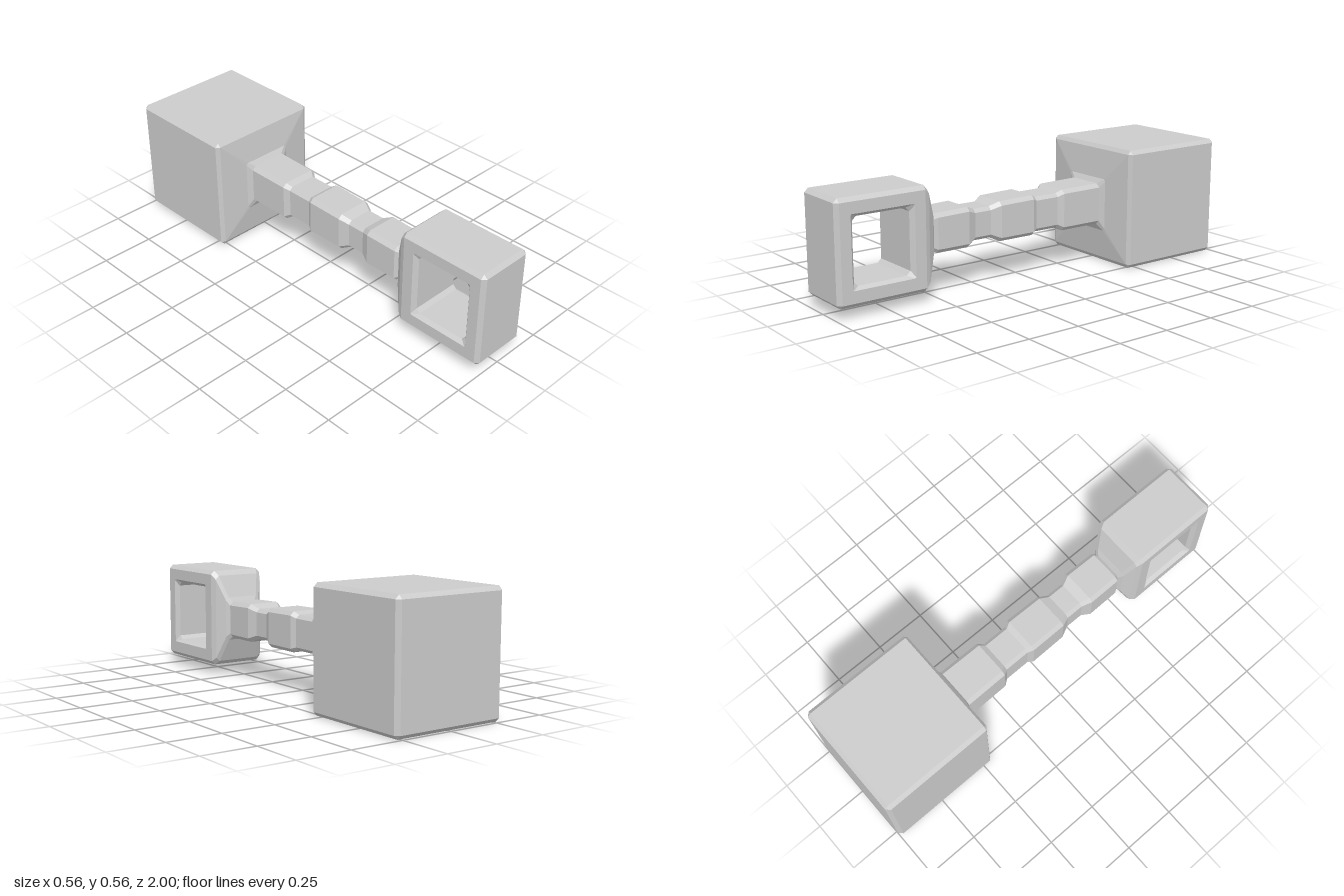
import * as THREE from 'three';

const material = new THREE.MeshStandardMaterial({ color: 0xcccccc, flatShading: true });

// Rectangle with cut corners, counter-clockwise; c0 cuts the low-v corners, c1 the high-v ones
function octagon(u0, u1, v0, v1, c0, c1 = c0) {
  return [
    [u1, v0 + c0], [u1, v1 - c1], [u1 - c1, v1], [u0 + c1, v1],
    [u0, v1 - c1], [u0, v0 + c0], [u0 + c0, v0], [u1 - c0, v0],
  ];
}

// Joins successive rings with flat facets, optionally capping the first ring
function loft(name, rings, capStart = false) {
  const pos = [];
  const tri = (a, b, c) => {
    const area = b.clone().sub(a).cross(c.clone().sub(a)).length();
    if (area > 1e-9) for (const p of [a, b, c]) pos.push(p.x, p.y, p.z);
  };
  for (let k = 0; k < rings.length - 1; k++) {
    const a = rings[k], b = rings[k + 1], n = a.length;
    for (let i = 0; i < n; i++) {
      const j = (i + 1) % n;
      tri(a[i], a[j], b[j]);
      tri(a[i], b[j], b[i]);
    }
  }
  if (capStart) {
    const r = rings[0];
    for (let i = 1; i < r.length - 1; i++) tri(r[0], r[i + 1], r[i]);
  }
  const geo = new THREE.BufferGeometry();
  geo.setAttribute('position', new THREE.Float32BufferAttribute(pos, 3));
  geo.computeVertexNormals();
  const mesh = new THREE.Mesh(geo, material);
  mesh.name = name;
  return mesh;
}

// Cross-section across the shaft: z, half width, bottom, top, corner cut
const section = ([z, w, y0, y1, c]) =>
  octagon(-w, w, y0, y1, c).map(([x, y]) => new THREE.Vector3(x, y, z));

// Cross-section of the grip frame in the y-z plane at a given x
const slice = (x, ...box) => octagon(...box).map(([y, z]) => new THREE.Vector3(x, y, z));

export function createModel() {
  const group = new THREE.Group();

  // Heavy block with bevelled edges and a shallow flare into the handle
  const head = [
    [-1, 0.262, 0.018, 0.542, 0],
    [-0.982, 0.28, 0, 0.56, 0.018],
    [-0.465, 0.28, 0, 0.56, 0.018],
    [-0.452, 0.262, 0.018, 0.542, 0],
    [-0.435, 0.125, 0.155, 0.405, 0.01],
    [-0.42, 0.1, 0.185, 0.382, 0.018],
  ];

  // Stepped handle
  const handle = [
    head[head.length - 1],
    [-0.21, 0.098, 0.185, 0.38, 0.018],
    [-0.185, 0.08, 0.2, 0.364, 0.016],
    [-0.06, 0.08, 0.2, 0.364, 0.016],
    [-0.035, 0.094, 0.19, 0.378, 0.018],
    [0.145, 0.092, 0.19, 0.374, 0.018],
    [0.19, 0.072, 0.211, 0.355, 0.016],
    [0.275, 0.072, 0.211, 0.355, 0.016],
    [0.32, 0.092, 0.192, 0.374, 0.018],
    [0.48, 0.09, 0.192, 0.37, 0.018],
    [0.495, 0.075, 0.2, 0.36, 0.016],
  ];

  // Rounded shoulder widening to the grip
  const shoulder = [
    handle[handle.length - 1],
    [0.51, 0.095, 0.178, 0.388, 0.016],
    [0.55, 0.128, 0.07, 0.492, 0.018],
    [0.575, 0.14, 0.05, 0.515, 0.018],
  ];

  group.add(loft('head', head.map(section), true));
  group.add(loft('handle', handle.map(section)));
  group.add(loft('gripShoulder', shoulder.map(section)));

  // Grip frame: rings run over the outside, across one face, through the opening and back
  const outer = (x) => slice(x, 0.05, 0.515, 0.575, 1, 0, 0.018);
  const face = (x) => slice(x, 0.068, 0.497, 0.575, 0.982, 0);
  const rim = (x) => slice(x, 0.122, 0.445, 0.628, 0.932, 0.005);
  const hole = (x) => slice(x, 0.135, 0.43, 0.645, 0.916, 0.018);
  group.add(loft('gripFrame', [
    outer(-0.122), outer(0.122), face(0.14), rim(0.14), hole(0.12),
    hole(-0.12), rim(-0.14), face(-0.14), outer(-0.122),
  ]));

  return group;
}
